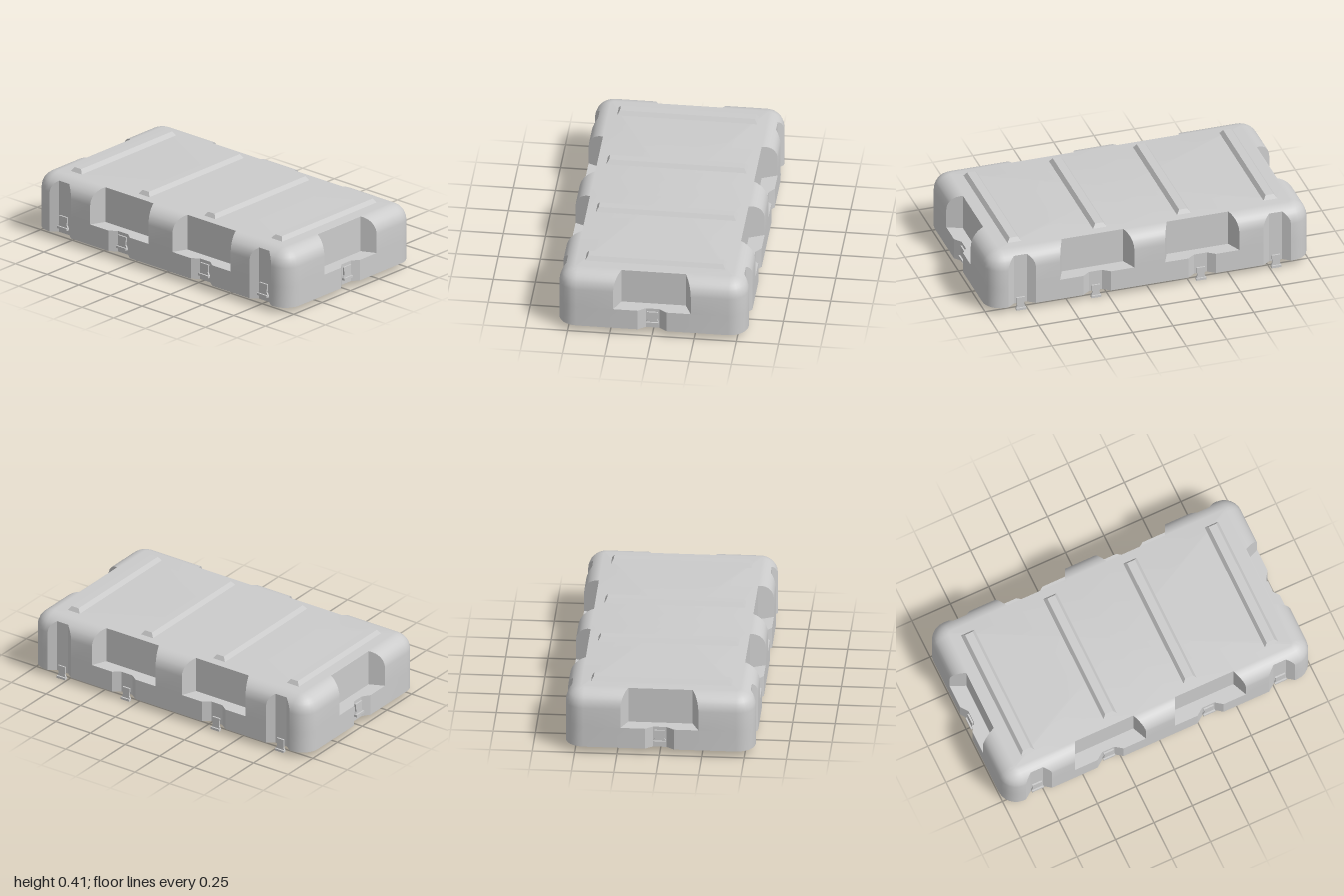
import * as THREE from 'three';
import { toCreasedNormals } from 'three/addons/utils/BufferGeometryUtils.js';

const HALF_X = 1, HALF_Z = 0.56, CORNER = 0.11;
const BOTTOM = 0.04, TOP = 0.39, SHELF = 0.17, WALL = 0.02, BEND = 0.1;
// recess plan shapes: depth, half width at the floor, half width at the mouth
const LATCH = { depth: 0.033, inner: 0.04, outer: 0.085 };
const POCKET = { depth: 0.09, inner: 0.19, outer: 0.23 };
const LONG_RECESSES = [-0.79, -0.325, 0.325, 0.79];
const RIBS = [-0.795, -0.26, 0.26, 0.79];

const mat = (side = THREE.FrontSide) => new THREE.MeshStandardMaterial({ color: 0xcccccc, side });

// joins loops of equal length with quads, optionally fanning the last one closed
function loft(loops, cap = false, flip = false) {
  const pos = [];
  const tri = (a, b, c) => {
    const n = b.clone().sub(a).cross(c.clone().sub(a));
    if (n.length() < 1e-9) return;
    for (const p of flip ? [a, c, b] : [a, b, c]) pos.push(p.x, p.y, p.z);
  };
  for (let j = 0; j < loops.length - 1; j++) {
    const A = loops[j], B = loops[j + 1];
    for (let i = 0; i < A.length; i++) {
      const k = (i + 1) % A.length;
      tri(A[i], B[i], A[k]);
      tri(A[k], B[i], B[k]);
    }
  }
  if (cap) {
    const L = loops[loops.length - 1];
    const mid = L.reduce((s, p) => s.add(p), new THREE.Vector3()).divideScalar(L.length);
    L.forEach((p, i) => tri(p, mid, L[(i + 1) % L.length]));
  }
  const g = new THREE.BufferGeometry();
  g.setAttribute('position', new THREE.Float32BufferAttribute(pos, 3));
  return toCreasedNormals(g, 0.5);
}

// plan outline at height y: rounded rectangle inset by d, cut by the recesses
function section(y, d, pocketOn, wall = 0) {
  const pts = [];
  for (let k = 0; k < 4; k++) {
    const a = k * Math.PI / 2;
    const n = [Math.cos(a), Math.sin(a)], u = [-Math.sin(a), Math.cos(a)];
    const [hn, hu] = k % 2 ? [HALF_Z, HALF_X] : [HALF_X, HALF_Z];
    const put = (out, s) => pts.push(new THREE.Vector3(n[0] * out + u[0] * s, y, n[1] * out + u[1] * s));
    for (const c of k % 2 ? LONG_RECESSES : [0]) {
      const r = pocketOn && Math.abs(c) < 0.5 ? POCKET : LATCH;
      const f = THREE.MathUtils.clamp((r.depth + wall - d) / r.depth, 0, 1);
      const wi = r.inner + wall / 2, wo = wi + (r.outer - r.inner) * f;
      const floor = hn - Math.max(d, r.depth + wall);
      put(hn - d, c - wo);
      put(floor, c - wi);
      put(floor, c + wi);
      put(hn - d, c + wo);
    }
    const rad = CORNER - d;
    for (let i = 0; i <= 6; i++) {
      const t = i / 6 * Math.PI / 2;
      put(hn - CORNER + rad * Math.cos(t), hu - CORNER + rad * Math.sin(t));
    }
  }
  return pts;
}

// rows of the side wall, bottom to top, ending in the bent top edge
function wallRows(base, wall) {
  const r = BEND - wall;
  const rows = [section(base, wall, false, wall), section(SHELF - wall, wall, false, wall),
    section(SHELF - wall, wall, true, wall)];
  for (const q of [0, 0.03, 0.12, 0.2, 0.33, 0.5, 0.7, 0.9, 1]) {
    const y = TOP - BEND + r * Math.sqrt(1 - (1 - q) ** 2);
    rows.push(section(y, wall + r * q, true, wall));
  }
  return rows;
}

const rect = (cx, y, w, d) =>
  [[1, -1], [1, 1], [-1, 1], [-1, -1]].map(([i, j]) => new THREE.Vector3(cx + i * w, y, j * d));

function add(parent, name, geometry, side) {
  const m = new THREE.Mesh(geometry, mat(side));
  m.name = name;
  parent.add(m);
  return m;
}

// thin flared latch plate with a lip at its foot
function makeLatch(name) {
  const g = new THREE.Group();
  g.name = name;
  const s = new THREE.Shape();
  s.moveTo(-0.032, 0.08);
  s.lineTo(-0.028, 0.03);
  s.lineTo(-0.038, 0.012);
  s.lineTo(-0.038, 0);
  s.lineTo(0.038, 0);
  s.lineTo(0.038, 0.012);
  s.lineTo(0.028, 0.03);
  s.lineTo(0.032, 0.08);
  add(g, 'latchPlate', new THREE.ExtrudeGeometry(s, { depth: 0.01, bevelEnabled: false }));
  add(g, 'latchLip', new THREE.BoxGeometry(0.076, 0.014, 0.012)).position.set(0, 0.007, 0.014);
  return g;
}

export function createModel() {
  const model = new THREE.Group();
  model.name = 'caseLid';

  // hollow shell: inner wall downwards, stepped rim, outer wall upwards, top
  const inner = wallRows(BOTTOM + 0.03, WALL);
  const ceiling = inner[inner.length - 1];
  const rim = [section(BOTTOM + 0.03, 0.07, false), section(BOTTOM, 0.07, false)];
  add(model, 'shell', loft([...inner.reverse(), ...rim, ...wallRows(BOTTOM, 0)], true));

  // ceiling inside, open under each rib
  const plan = new THREE.Shape(ceiling.map(p => new THREE.Vector2(p.x, p.z)));
  for (const x of RIBS)
    plan.holes.push(new THREE.Path(rect(x, 0, 0.036, 0.405).map(p => new THREE.Vector2(p.x, p.z))));
  add(model, 'ceiling', new THREE.ShapeGeometry(plan).rotateX(Math.PI / 2)).position.y = TOP - WALL;

  // stiffening ribs and their hollow undersides
  for (const x of RIBS) {
    add(model, 'rib', loft([rect(x, TOP, 0.043, 0.415), rect(x, 0.415, 0.025, 0.4)], true));
    add(model, 'ribChannel',
      loft([rect(x, TOP - WALL, 0.036, 0.405), rect(x, TOP - 0.002, 0.02, 0.392)], true, true));
  }

  // latches: raised on the front and ends, hanging below the rim at the back
  for (const x of LONG_RECESSES) {
    const front = makeLatch('frontLatch');
    front.position.set(x, 0.07, HALF_Z - LATCH.depth);
    const back = makeLatch('backLatch');
    back.position.set(x, 0, -HALF_Z + LATCH.depth);
    back.rotation.y = Math.PI;
    back.scale.x = 0.8;
    model.add(front, back);
  }
  for (const s of [-1, 1]) {
    const end = makeLatch(s > 0 ? 'leftLatch' : 'rightLatch');
    end.position.set(s * (HALF_X - LATCH.depth), 0.07, 0);
    end.rotation.y = s * Math.PI / 2;
    model.add(end);
  }
  return model;
}
